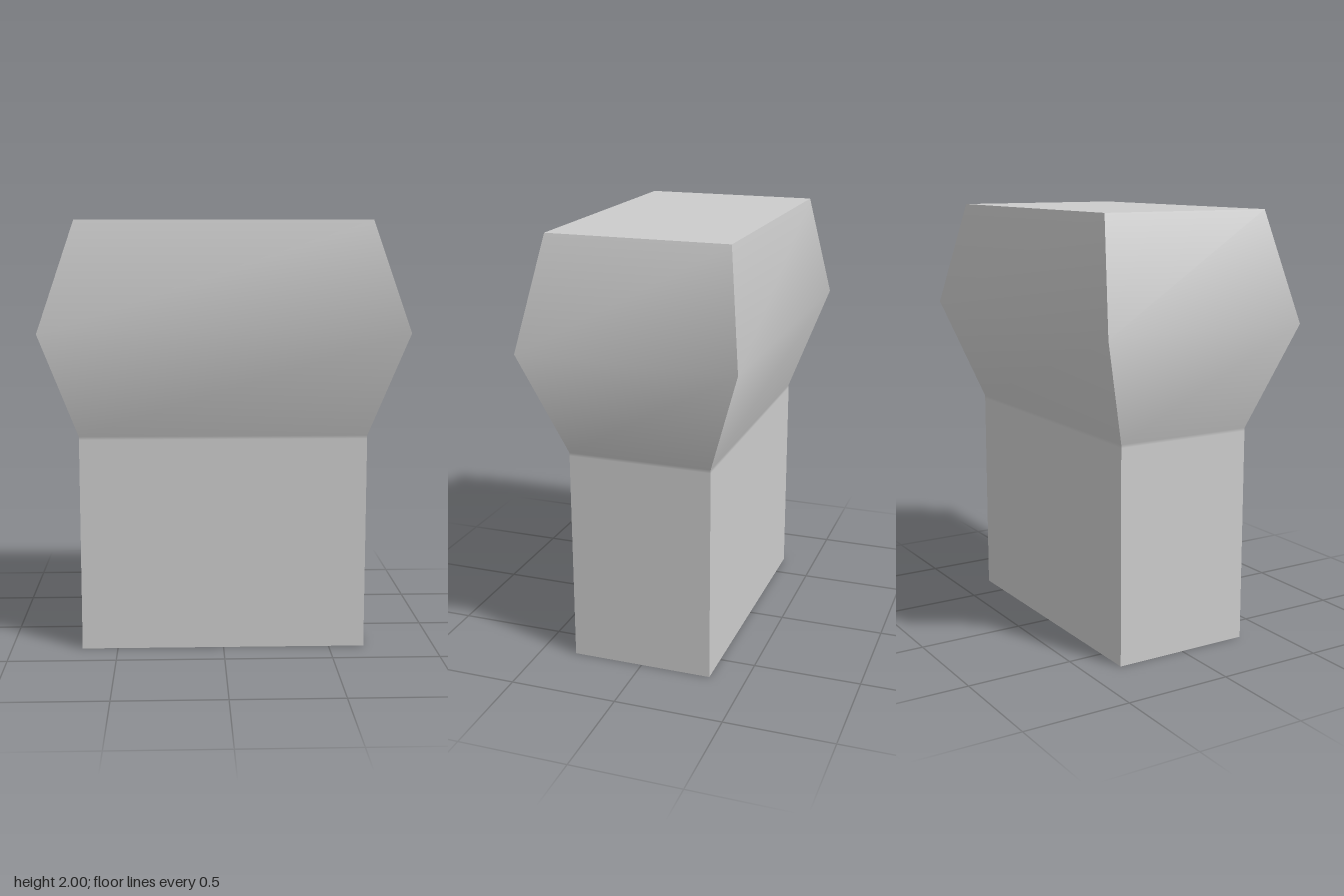
import * as THREE from 'three';

// Half width and half depth of the block at each height
const rings = [
  { y: 0, x: 0.667, z: 0.333 },
  { y: 1, x: 0.667, z: 0.333 },
  { y: 1.015, x: 0.667, z: 0.333 },
  { y: 1.5, x: 0.833, z: 0.5 },
  { y: 2, x: 0.667, z: 0.417 },
];
const corners = [[-1, 1], [1, 1], [1, -1], [-1, -1]];

// One side running up through all rings: smooth along its height, sharp at its vertical edges
function sideGeometry(a, b) {
  const positions = [];
  const indices = [];
  rings.forEach((r, i) => {
    for (const [sx, sz] of [a, b]) positions.push(sx * r.x, r.y, sz * r.z);
    if (i > 0) {
      const k = 2 * (i - 1);
      indices.push(k, k + 1, k + 3, k, k + 3, k + 2);
    }
  });
  const geometry = new THREE.BufferGeometry();
  geometry.setAttribute('position', new THREE.Float32BufferAttribute(positions, 3));
  geometry.setIndex(indices);
  geometry.computeVertexNormals();
  return geometry;
}

// Flat end face closing a ring
function capGeometry(ring, up) {
  return new THREE.PlaneGeometry(2 * ring.x, 2 * ring.z)
    .rotateX(up ? -Math.PI / 2 : Math.PI / 2)
    .translate(0, ring.y, 0);
}

export function createModel() {
  const grey = new THREE.MeshStandardMaterial({ color: 0xcccccc });
  grey.name = 'light grey';

  const group = new THREE.Group();
  group.name = 'flaredBlock';
  const add = (name, geometry) => {
    const mesh = new THREE.Mesh(geometry, grey);
    mesh.name = name;
    group.add(mesh);
  };

  // Four sides of the stem and flared head
  ['frontSide', 'leftSide', 'backSide', 'rightSide'].forEach((name, i) =>
    add(name, sideGeometry(corners[i], corners[(i + 1) % 4])));

  // Top and bottom faces
  add('topFace', capGeometry(rings[rings.length - 1], true));
  add('bottomFace', capGeometry(rings[0], false));
  return group;
}
